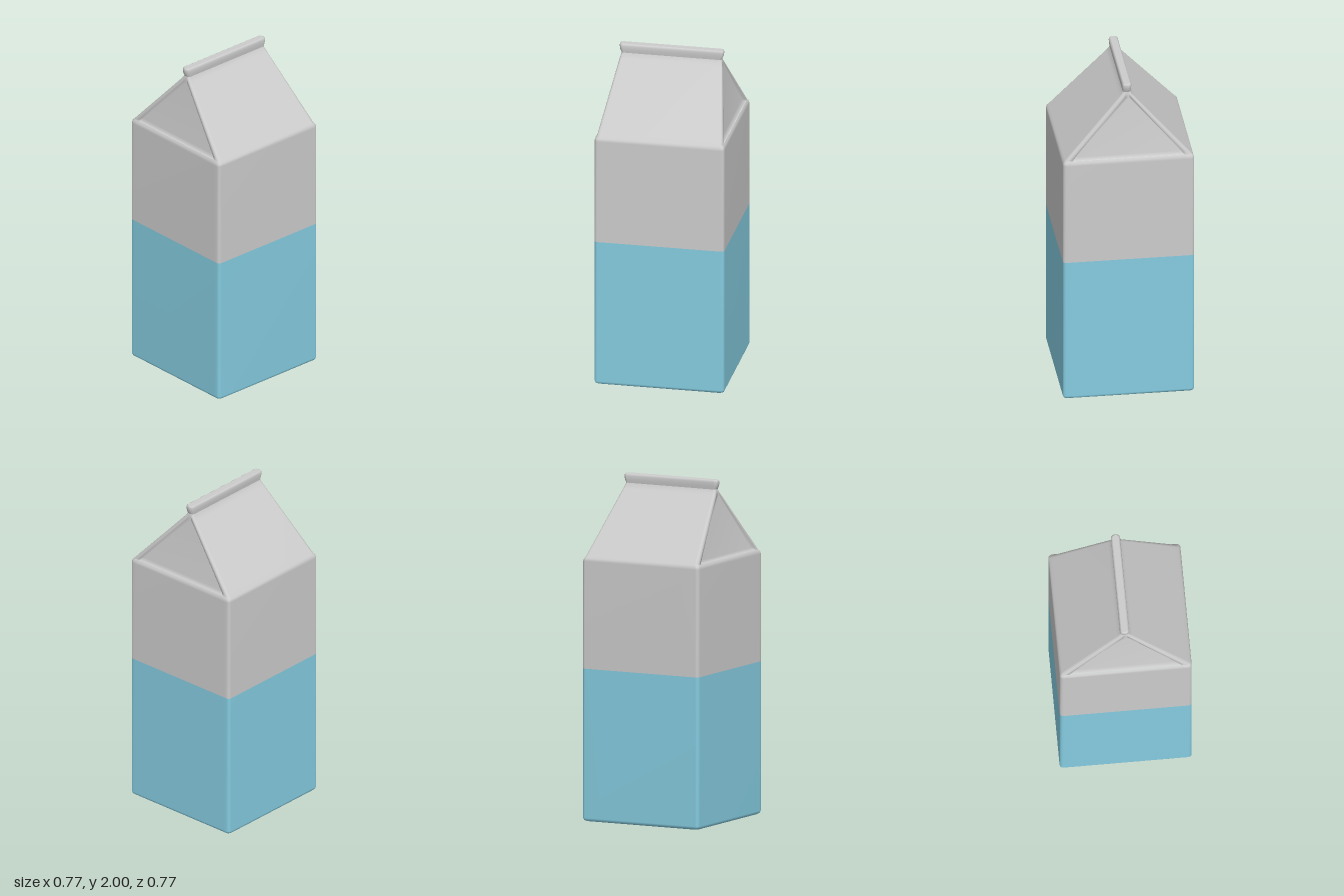
import * as THREE from 'three';

// Outline of one level: rounded rectangle whose two ends (+z, -z) can be recessed by d behind a narrow rim.
function outline({ y, x, z, r, d = 0 }) {
  const pts = [];
  const rim = Math.min(0.02, (x - r) * 0.4);
  const step = Math.min(0.008, (x - r) * 0.2);
  const corner = (sx, sz, start) => {
    for (let i = 0; i <= 3; i++) {
      const a = start + (i / 3) * Math.PI / 2;
      pts.push([sx * (x - r) + r * Math.cos(a), y, sz * (z - r) + r * Math.sin(a)]);
    }
  };
  const end = (s) => {
    const inner = x - r - rim;
    pts.push([s * inner, y, s * z], [s * (inner - step), y, s * (z - d)]);
    pts.push([-s * (inner - step), y, s * (z - d)], [-s * inner, y, s * z]);
  };
  corner(1, 1, 0);
  end(1);
  corner(-1, 1, Math.PI / 2);
  corner(-1, -1, Math.PI);
  end(-1);
  corner(1, -1, Math.PI * 1.5);
  return pts;
}

// Skin between successive levels; area-weighted normals keep the large panels flat and the edges soft.
function loft(levels) {
  const rings = levels.map(outline);
  const n = rings[0].length;
  const index = [];
  for (let i = 0; i < rings.length - 1; i++) {
    for (let j = 0; j < n; j++) {
      const k = (j + 1) % n;
      const a = i * n + j, b = i * n + k, c = b + n, d = a + n;
      index.push(a, d, b, d, c, b);
    }
  }
  return build(rings.flat(2), index);
}

// Flat lid over one level, facing up or down.
function cap(level, up) {
  const ring = outline(level);
  const n = ring.length;
  const index = [];
  for (let j = 0; j < n; j++) {
    const k = (j + 1) % n;
    index.push(n, up ? k : j, up ? j : k);
  }
  return build([...ring, [0, level.y, 0]].flat(), index);
}

function build(positions, index) {
  const g = new THREE.BufferGeometry();
  g.setAttribute('position', new THREE.Float32BufferAttribute(positions, 3));
  g.setIndex(index);
  g.computeVertexNormals();
  return g;
}

export function createModel() {
  const group = new THREE.Group();
  const grey = new THREE.MeshStandardMaterial({ color: 0xcccccc });
  const blue = new THREE.MeshStandardMaterial({ color: 0x85cce0 });
  const add = (name, geometry, material) => {
    const mesh = new THREE.Mesh(geometry, material);
    mesh.name = name;
    group.add(mesh);
  };

  const W = 0.385, R = 0.02;
  const base = { y: 0.005, x: W - 0.015, z: W - 0.015, r: R };
  const band = { y: 0.895, x: W, z: W, r: R };
  const tip = { y: 2, x: 0.018, z: 0.3, r: 0.014 };
  base.y = 0;

  // Carton: base, coloured lower half, plain upper half
  add('base', cap(base, false), grey);
  add('lowerBody', loft([
    base,
    { y: 0.006, x: W - 0.005, z: W - 0.005, r: R },
    { y: 0.02, x: W, z: W, r: R },
    band,
  ]), blue);
  add('upperBody', loft([
    band,
    { y: 1.525, x: W, z: W, r: R },
    { y: 1.541, x: 0.381, z: 0.381, r: R },
    { y: 1.552, x: 0.371, z: 0.373, r: R },
  ]), grey);

  // Gable roof with recessed triangular ends, curving up into the fin
  add('gableRoof', loft([
    { y: 1.552, x: 0.371, z: 0.373, r: R, d: 0.002 },
    { y: 1.567, x: 0.358, z: 0.37, r: R, d: 0.02 },
    { y: 1.912, x: 0.045, z: 0.304, r: 0.014, d: 0.002 },
    { y: 1.93, x: 0.03, z: 0.3, r: 0.014 },
    { y: 1.945, x: 0.023, z: 0.297, r: 0.016 },
  ]), grey);

  // Sealed top fin
  add('topFin', loft([
    { y: 1.945, x: 0.023, z: 0.297, r: 0.016 },
    { y: 1.965, x: 0.026, z: 0.306, r: 0.02 },
    { y: 1.986, x: 0.027, z: 0.309, r: 0.02 },
    { y: 1.996, x: 0.024, z: 0.306, r: 0.018 },
    tip,
  ]), grey);
  add('finTop', cap(tip, true), grey);

  return group;
}
